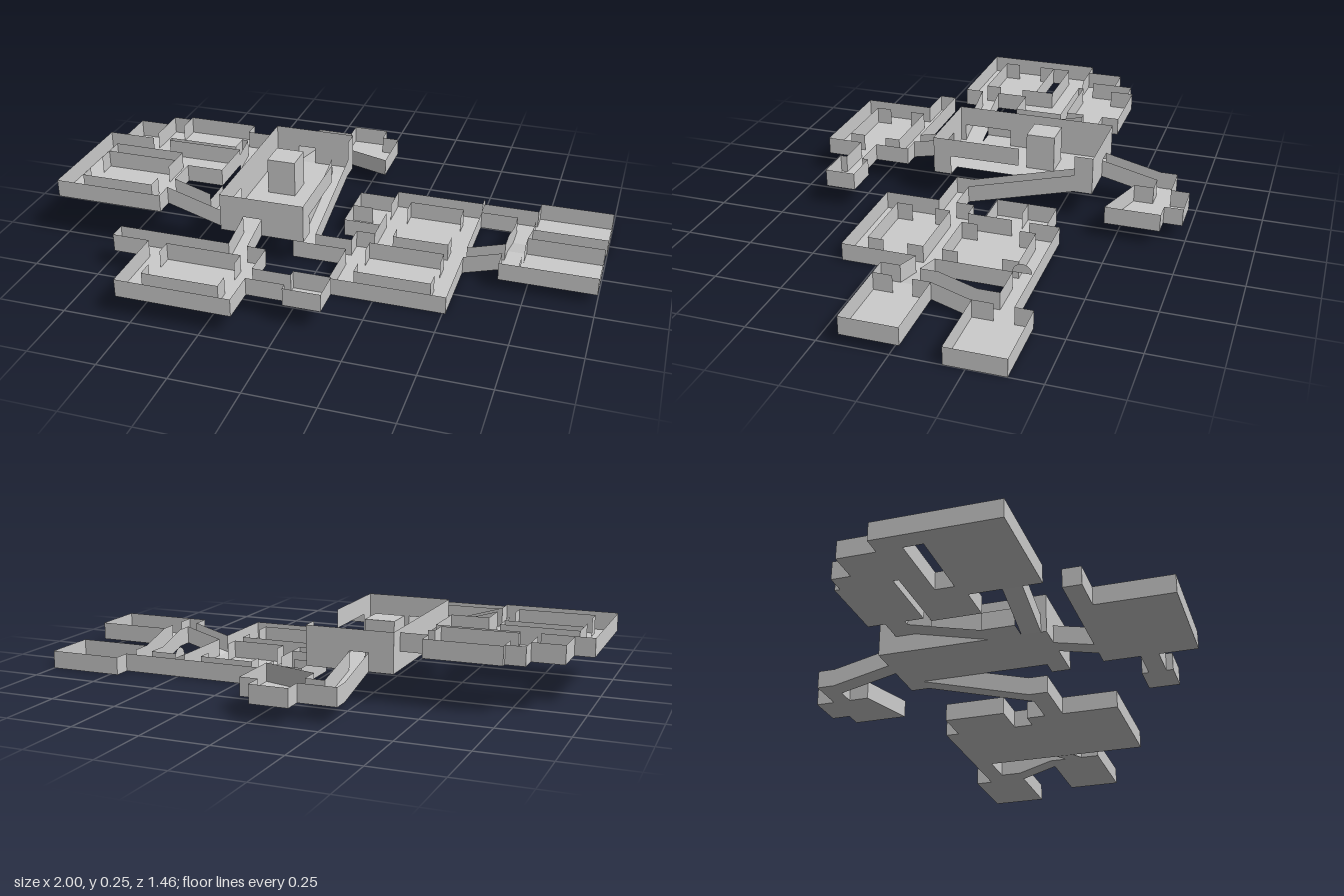
import * as THREE from 'three';

const material = new THREE.MeshStandardMaterial({ color: 0xcccccc, side: THREE.DoubleSide, flatShading: true });
const H = 0.067; // height of a storey

function meshFromQuads(name, quads) {
  const pos = [];
  for (const [a, b, c, d] of quads) pos.push(...a, ...b, ...c, ...a, ...c, ...d);
  const g = new THREE.BufferGeometry();
  g.setAttribute('position', new THREE.Float32BufferAttribute(pos, 3));
  g.computeVertexNormals();
  const m = new THREE.Mesh(g, material);
  m.name = name;
  return m;
}

// Upright wall strip between two floor points
const wall = (a, b, h = H) => [a, b, [b[0], b[1] + h, b[2]], [a[0], a[1] + h, a[2]]];

// Floor height of an area [x0, x1, z0, z1, yStart, yEnd, axis]; flat when yEnd is left out
function heightAt([x0, x1, z0, z1, ya, yb = ya, axis = 'x'], x, z) {
  const t = axis === 'x' ? (x - x0) / (x1 - x0) : (z - z0) / (z1 - z0);
  return ya + (yb - ya) * t;
}

// Joins rectangular areas into one floor, with walls wherever nothing adjoins.
// Areas in "open" are passages belonging to other parts.
function wing(name, areas, open = [], extra = []) {
  const all = [...areas, ...open];
  const cuts = (i) => [...new Set(all.flatMap((r) => [r[i], r[i + 1]]))].sort((a, b) => a - b);
  const xs = cuts(0), zs = cuts(2);
  const find = (list, i, j) => {
    if (i < 0 || j < 0 || i > xs.length - 2 || j > zs.length - 2) return undefined;
    const x = (xs[i] + xs[i + 1]) / 2, z = (zs[j] + zs[j + 1]) / 2;
    return list.find((r) => x > r[0] && x < r[1] && z > r[2] && z < r[3]);
  };
  const quads = [...extra];
  for (let i = 0; i < xs.length - 1; i++) for (let j = 0; j < zs.length - 1; j++) {
    const r = find(areas, i, j);
    if (!r) continue;
    const p = (x, z) => [x, heightAt(r, x, z), z];
    const a = p(xs[i], zs[j]), b = p(xs[i], zs[j + 1]), c = p(xs[i + 1], zs[j + 1]), d = p(xs[i + 1], zs[j]);
    quads.push([a, b, c, d]);
    if (!find(all, i - 1, j)) quads.push(wall(a, b));
    if (!find(all, i, j + 1)) quads.push(wall(b, c));
    if (!find(all, i + 1, j)) quads.push(wall(c, d));
    if (!find(all, i, j - 1)) quads.push(wall(d, a));
  }
  return meshFromQuads(name, quads);
}

// Inner room: two full walls, and two sides open in the middle
function innerRoom(x0, x1, z0, z1, y, post = 0.06) {
  const q = [];
  for (const z of [z0, z1]) q.push(wall([x0, y, z], [x1, y, z]));
  for (const x of [x0, x1]) {
    q.push(wall([x, y, z0], [x, y, z0 + post]), wall([x, y, z1 - post], [x, y, z1]));
  }
  return q;
}

// Straight wall with doorways [from, to]; a lintel closes the top of each
function doorWall(axis, at, from, to, y, h, doors = []) {
  const p = (t, yy) => (axis === 'x' ? [t, yy, at] : [at, yy, t]);
  const q = [];
  let s = from;
  for (const [a, b] of doors) {
    q.push(wall(p(s, y), p(a, y), h), wall(p(a, y + H), p(b, y + H), h - H));
    s = b;
  }
  q.push(wall(p(s, y), p(to, y), h));
  return q;
}

export function createModel() {
  const model = new THREE.Group();

  // Central two-storey hall, its floor cut away over the stair
  const y = 0.11, h = 0.145;
  const slab = (x0, x1, z0, z1) => [[x0, y, z0], [x0, y, z1], [x1, y, z1], [x1, y, z0]];
  model.add(meshFromQuads('hall', [
    slab(-0.37, -0.115, -0.385, 0.24),
    slab(-0.115, -0.05, -0.385, -0.315),
    slab(-0.115, -0.05, 0.17, 0.24),
    ...doorWall('x', 0.24, -0.37, -0.05, y, h, [[-0.28, -0.21]]),
    ...doorWall('x', -0.385, -0.37, -0.05, y, h, [[-0.28, -0.21]]),
    ...doorWall('z', -0.37, -0.385, 0.24, y, h, [[0.03, 0.15], [0.15, 0.22]]),
    // Outer side, open beside the stair
    wall([-0.05, y, 0.17], [-0.05, y, 0.24], h),
    wall([-0.05, 0.185, -0.1], [-0.05, 0.185, 0.17], 0.07),
    wall([-0.05, y, -0.385], [-0.05, y, -0.315], h),
  ]));
  const block = new THREE.Mesh(new THREE.BoxGeometry(0.11, 0.14, 0.11), material);
  block.name = 'hallBlock';
  block.position.set(-0.25, 0.18, -0.143);
  model.add(block);

  // Front wing
  model.add(wing('frontWing', [
    [-0.28, -0.21, 0.24, 0.385, 0.11, 0.08, 'z'],
    [-0.56, -0.14, 0.385, 0.725, 0.08],
    [-0.7, -0.56, 0.385, 0.45, 0.08],
    [-0.14, 0, 0.52, 0.585, 0.08],
    [0, 0.135, 0.495, 0.61, 0.08],
  ], [[-0.28, -0.21, 0.2, 0.24]], innerRoom(-0.49, -0.21, 0.45, 0.66, 0.08)));

  // Back passage
  model.add(wing('backPassage', [
    [-0.28, -0.21, -0.6, -0.385, 0.06, 0.11, 'z'],
    [-0.28, -0.14, -0.665, -0.6, 0.06],
  ], [[-0.28, -0.21, -0.385, -0.35], [-0.14, -0.1, -0.665, -0.6]]));

  // Back room with a slanted side
  const outline = [[-0.14, -0.6], [-0.14, -0.527], [0.067, -0.46], [0.067, -0.665], [0, -0.665], [0, -0.735], [-0.14, -0.735], [-0.14, -0.665]];
  const backRoom = meshFromQuads('backRoomWalls', outline.slice(1).map((p, i) =>
    wall([outline[i][0], 0.06, outline[i][1]], [p[0], 0.06, p[1]])));
  const floor = new THREE.ShapeGeometry(new THREE.Shape(outline.map(([x, z]) => new THREE.Vector2(x, -z))));
  floor.rotateX(-Math.PI / 2).translate(0, 0.06, 0);
  const backFloor = new THREE.Mesh(floor, material);
  backFloor.name = 'backRoomFloor';
  model.add(backRoom, backFloor);

  // Upper wing: ring of corridors, side rooms and two ramps down to the hall
  const u = 0.175;
  model.add(wing('upperWing', [
    [-1, -0.93, -0.155, 0.29, u],
    [-0.93, -0.65, -0.155, -0.065, u],
    [-0.93, -0.65, 0.005, 0.29, u],
    [-0.65, -0.585, -0.155, 0.29, u],
    [-0.585, -0.445, -0.155, 0.03, u],
    [-0.93, -0.745, -0.295, -0.155, u],
    [-0.815, -0.745, -0.365, -0.295, u],
    [-0.745, -0.47, -0.385, -0.175, u],
    [-0.47, -0.37, -0.32, -0.245, u],
    [-0.445, -0.37, -0.245, 0.03, u, 0.11, 'z'],
    [-0.445, -0.37, 0.03, 0.15, 0.11],
    [-0.585, -0.37, 0.15, 0.22, u, 0.11, 'x'],
  ], [[-0.37, -0.3, 0.03, 0.22]], [
    ...innerRoom(-0.93, -0.65, 0.005, 0.22, u),
    wall([-0.445, u, -0.155], [-0.445, u, 0.03]),
    wall([-0.745, u, -0.385], [-0.745, u, -0.295]),
    wall([-0.815, u, -0.295], [-0.815, u, -0.2]),
    wall([-0.93, u, -0.155], [-0.815, u, -0.155]),
    wall([-0.47, u, -0.245], [-0.47, u, -0.175]),
  ]));

  // Stair from the hall down to the lower level
  model.add(wing('stair', [
    [-0.115, -0.05, -0.315, 0.1, 0.11, 0, 'z'],
    [-0.115, 0.09, 0.1, 0.17, 0],
  ], [[-0.115, -0.05, -0.36, -0.315], [0.09, 0.12, 0.1, 0.17]]));

  // Lower wing: two ringed rooms, an annex, a loop of passages and two end rooms
  model.add(wing('lowerWing', [
    [0.16, 0.51, -0.32, 0.1, 0],
    [0.09, 0.51, 0.03, 0.38, 0],
    [0.02, 0.16, -0.27, -0.04, 0],
    [0.51, 0.72, -0.32, -0.25, 0],
    [0.65, 0.72, -0.25, -0.17, 0],
    [0.65, 0.72, -0.17, -0.035, 0, 0.04, 'z'],
    [0.51, 0.65, 0.03, 0.1, 0, 0.04, 'x'],
    [0.65, 0.72, -0.035, 0.17, 0.04],
    [0.72, 1, -0.385, -0.175, 0],
    [0.72, 1, -0.035, 0.17, 0.04],
  ], [[0, 0.09, 0.1, 0.17]], [
    ...innerRoom(0.23, 0.44, -0.25, 0.03, 0),
    ...innerRoom(0.16, 0.44, 0.1, 0.31, 0),
    wall([0.02, 0, -0.16], [0.1, 0, -0.16]),
    wall([0.16, 0, -0.27], [0.16, 0, -0.205]),
    wall([0.16, 0, -0.14], [0.16, 0, -0.04]),
    wall([0.72, 0, -0.25], [0.72, 0, -0.175]),
    wall([0.72, 0.04, -0.035], [0.72, 0.04, 0.03]),
    wall([0.72, 0.04, 0.1], [0.72, 0.04, 0.17]),
  ]));

  // Half-round arch over the back passage doorway
  const arch = new THREE.Mesh(new THREE.CircleGeometry(0.035, 16, 0, Math.PI), material);
  arch.name = 'doorArch';
  arch.rotation.y = Math.PI / 2;
  arch.position.set(0.51, 0.067, -0.283);
  model.add(arch);

  return model;
}
